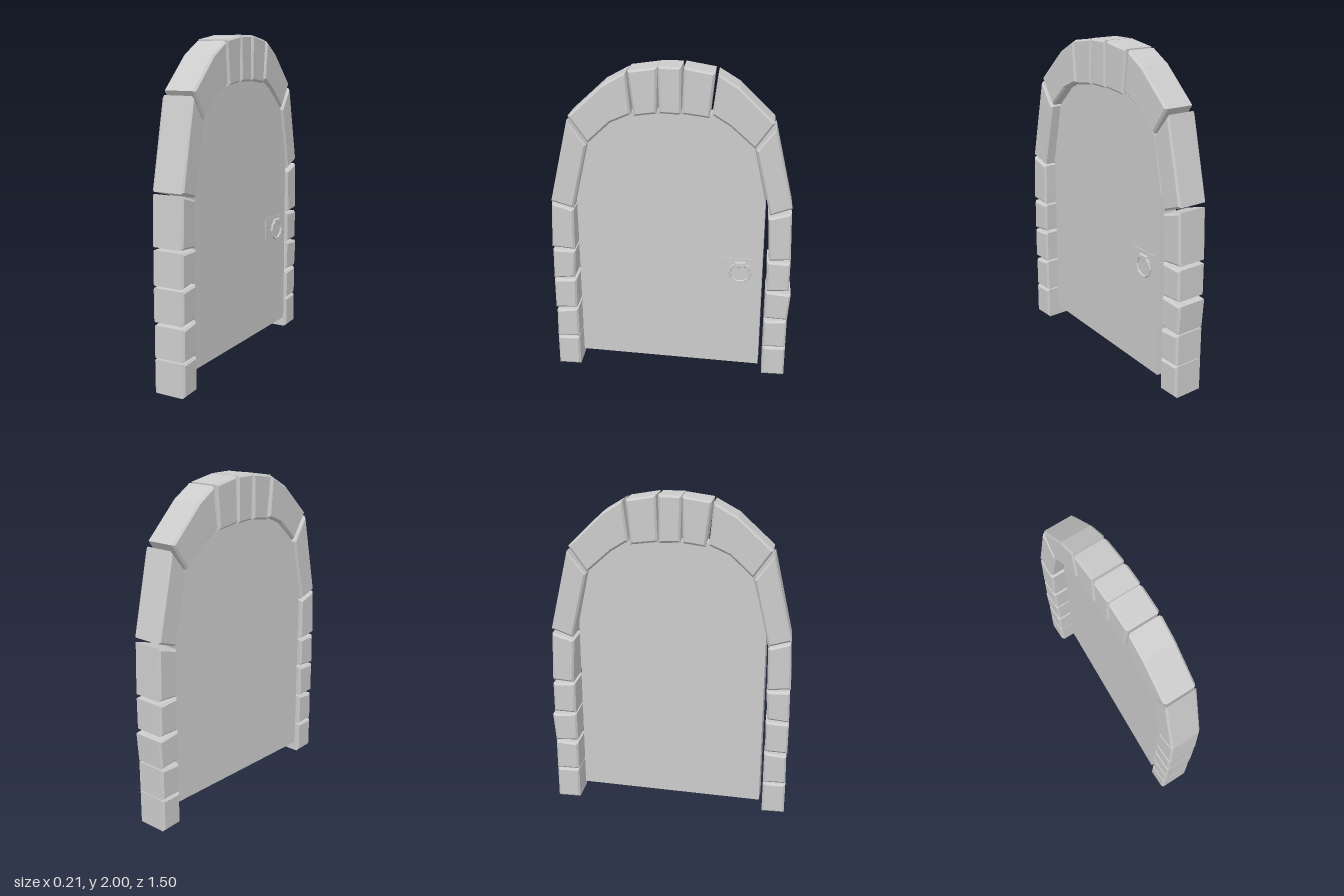
import * as THREE from 'three';

const material = new THREE.MeshStandardMaterial({ color: 0xcccccc, flatShading: true });

// Closed outline [u, y] with u = -z, extruded along x from x0 to x1
function slab(name, points, x0, x1, bevel = 0) {
  const shape = new THREE.Shape(points.map(([u, y]) => new THREE.Vector2(u, y)));
  const geometry = new THREE.ExtrudeGeometry(shape, {
    depth: x1 - x0 - 2 * bevel,
    bevelEnabled: bevel > 0,
    bevelSize: bevel,
    bevelThickness: bevel,
    bevelOffset: -bevel,
    bevelSegments: 1,
  });
  geometry.translate(0, 0, x0 + bevel);
  geometry.rotateY(Math.PI / 2);
  const mesh = new THREE.Mesh(geometry, material);
  mesh.name = name;
  return mesh;
}

// Uneven stone outlines, counter-clockwise
const nearPillar = [
  [[-0.745, 0], [-0.603, 0], [-0.603, 0.205], [-0.745, 0.203]],
  [[-0.745, 0.212], [-0.603, 0.212], [-0.603, 0.417], [-0.741, 0.402]],
  [[-0.746, 0.423], [-0.608, 0.428], [-0.603, 0.63], [-0.746, 0.622]],
  [[-0.746, 0.635], [-0.612, 0.648], [-0.6, 0.832], [-0.742, 0.836]],
  [[-0.746, 0.855], [-0.603, 0.842], [-0.598, 1.11], [-0.733, 1.15]],
];
const farPillar = [
  [[0.593, 0], [0.736, 0], [0.736, 0.205], [0.593, 0.203]],
  [[0.593, 0.208], [0.736, 0.21], [0.736, 0.402], [0.593, 0.393]],
  [[0.593, 0.418], [0.736, 0.41], [0.75, 0.59], [0.593, 0.604]],
  [[0.598, 0.61], [0.736, 0.615], [0.736, 0.805], [0.593, 0.812]],
  [[0.603, 0.82], [0.736, 0.83], [0.725, 1.14], [0.587, 1.1]],
];
const archStones = [
  [[-0.735, 1.162], [-0.598, 1.122], [-0.503, 1.525], [-0.614, 1.675]],
  [[-0.493, 1.54], [-0.355, 1.667], [-0.235, 1.72], [-0.258, 1.965], [-0.397, 1.89], [-0.606, 1.7]],
  [[-0.215, 1.71], [-0.083, 1.728], [-0.078, 1.997], [-0.248, 1.973]],
  [[-0.068, 1.73], [0.058, 1.725], [0.06, 2], [-0.075, 2]],
  [[0.064, 1.73], [0.224, 1.71], [0.25, 1.97], [0.074, 2]],
  [[0.238, 1.73], [0.34, 1.667], [0.49, 1.535], [0.6, 1.69], [0.392, 1.89], [0.268, 1.965]],
  [[0.595, 1.12], [0.727, 1.168], [0.61, 1.66], [0.498, 1.522]],
];

export function createModel() {
  const model = new THREE.Group();
  model.name = 'archedDoorway';

  // Stone surround
  for (const [name, stones] of Object.entries({ nearPillar, archStones, farPillar })) {
    const part = new THREE.Group();
    part.name = name;
    stones.forEach((outline, i) => part.add(slab(`${name}Block${i + 1}`, outline, -0.105, 0.095, 0.012)));
    model.add(part);
  }

  // Door leaf, very slightly ajar
  const door = new THREE.Group();
  door.name = 'door';
  door.rotation.y = -0.06;
  const face = 0.055;
  door.add(slab('doorPanel', [
    [-0.587, 0.075], [0.569, 0.075], [0.569, 1.2], [0.495, 1.53], [0.345, 1.68], [0.22, 1.73],
    [0, 1.74], [-0.22, 1.73], [-0.36, 1.68], [-0.5, 1.53], [-0.587, 1.2],
  ], -face, face));

  // Handle plate, bracket and pull ring
  const rect = (u0, u1, y0, y1) => [[u0, y0], [u1, y0], [u1, y1], [u0, y1]];
  door.add(slab('handlePlate', rect(0.305, 0.535, 0.692, 0.826), face - 0.002, face + 0.004));
  door.add(slab('handleBracket', rect(0.4, 0.468, 0.772, 0.805), face, face + 0.022, 0.004));
  const ring = new THREE.Mesh(new THREE.TorusGeometry(0.064, 0.008, 6, 10), material);
  ring.name = 'handleRing';
  ring.rotation.y = Math.PI / 2;
  ring.position.set(face + 0.013, 0.735, -0.434);
  door.add(ring);
  model.add(door);

  return model;
}
